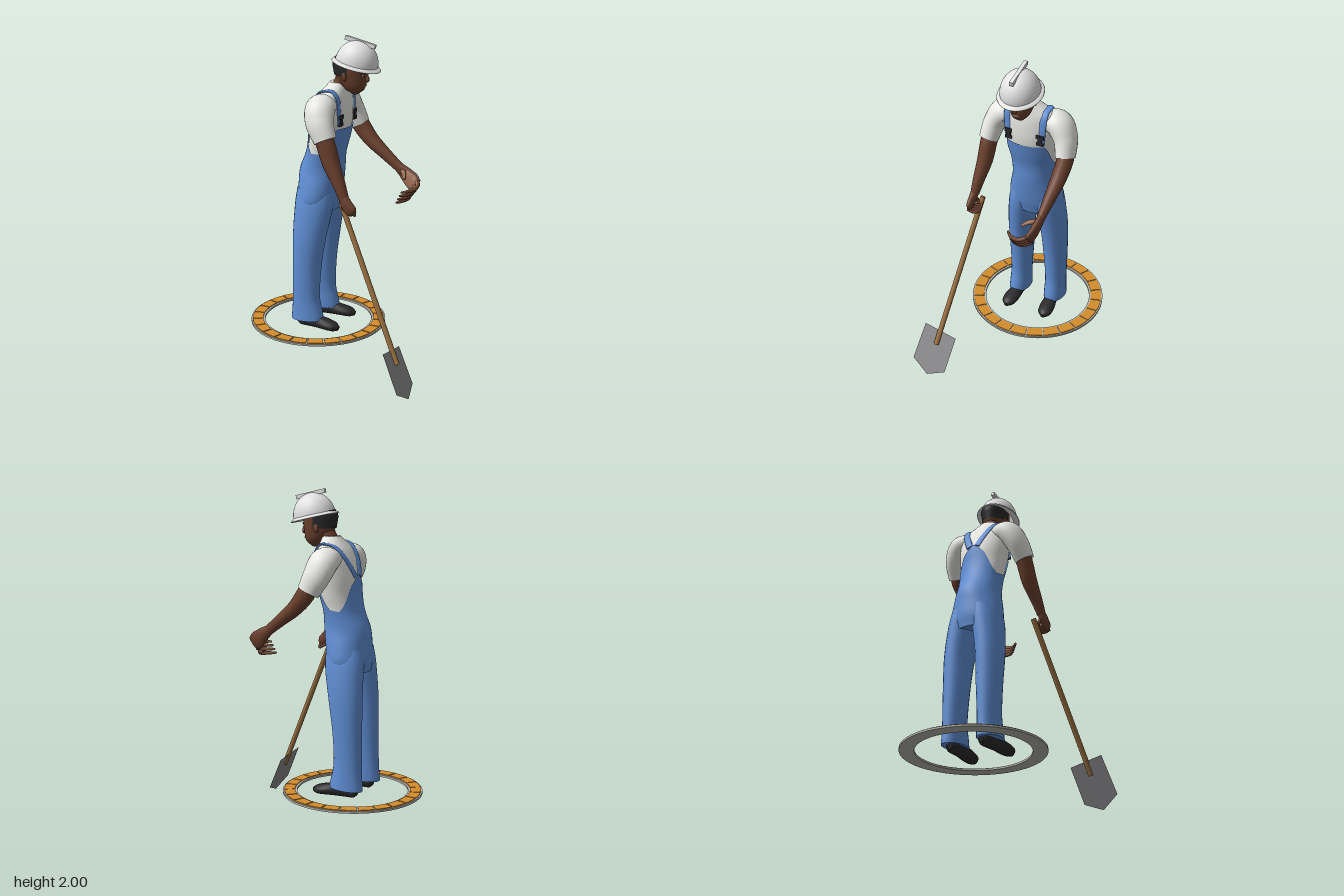
import * as THREE from 'three';

const V = (x, y, z) => new THREE.Vector3(x, y, z);
const mat = (name, color, both) => {
  const m = new THREE.MeshStandardMaterial({ color });
  m.name = name;
  if (both) m.side = THREE.DoubleSide;
  return m;
};
const CZ = -0.042; // middle of the figure in z; it faces +x
const X = V(1, 0, 0), Y = V(0, 1, 0), Z = V(0, 0, 1);

// Smooth skin over a grid of points; point(u, row) with u in 0..1
function skinGrid(point, nu, rows, closed = true) {
  const pos = [], idx = [], w = closed ? nu : nu + 1;
  for (let j = 0; j < rows; j++)
    for (let i = 0; i < w; i++) pos.push(...point(i / nu, j).toArray());
  for (let j = 0; j < rows - 1; j++)
    for (let i = 0; i < nu; i++) {
      const a = j * w + i, b = j * w + (i + 1) % w;
      idx.push(a, b, a + w, b, b + w, a + w);
    }
  const g = new THREE.BufferGeometry();
  g.setAttribute('position', new THREE.Float32BufferAttribute(pos, 3));
  g.setIndex(idx);
  g.computeVertexNormals();
  return g;
}

// Capped tube through [x, y, z, radius along ref, other radius]
function limb(pts, ref = Z, sides = 16, steps = 24) {
  const path = new THREE.CatmullRomCurve3(pts.map(p => V(p[0], p[1], p[2])));
  const rad = new THREE.CatmullRomCurve3(pts.map(p => V(p[3], p[4] ?? p[3], 0)), false, 'catmullrom');
  return skinGrid((u, row) => {
    const j = THREE.MathUtils.clamp(row - 2, 0, steps), t = j / steps;
    const p = path.getPoint(t), r = rad.getPoint(t), T = path.getTangent(t);
    if (row === 0 || row === steps + 4) return p;
    const N = ref.clone().addScaledVector(T, -ref.dot(T)).normalize();
    const B = T.clone().cross(N), a = u * Math.PI * 2;
    return p.addScaledVector(N, r.x * Math.cos(a)).addScaledVector(B, r.y * Math.sin(a));
  }, sides, steps + 5);
}

// Smooth lookup in rows [y, centre x, radius x, radius z]
function sectionAt(rows, y) {
  let i = 0;
  while (i < rows.length - 2 && y > rows[i + 1][0]) i++;
  const a = rows[Math.max(i - 1, 0)], b = rows[i], c = rows[i + 1], d = rows[Math.min(i + 2, rows.length - 1)];
  const t = THREE.MathUtils.clamp((y - b[0]) / (c[0] - b[0]), 0, 1);
  return b.map((_, k) => 0.5 * (2 * b[k] + (c[k] - a[k]) * t + (2 * a[k] - 5 * b[k] + 4 * c[k] - d[k]) * t * t
    + (3 * b[k] - a[k] - 3 * c[k] + d[k]) * t * t * t));
}

// Upright body from sections; the top edge may vary with the angle (0 is the front)
function body(rows, y0, top, grow = 0, a0 = -Math.PI, a1 = Math.PI, nv = 28, capped = true) {
  const closed = a1 - a0 > 6.2;
  return skinGrid((u, row) => {
    const a = a0 + (a1 - a0) * u, v = THREE.MathUtils.clamp(row - 2, 0, nv) / nv;
    const y = y0 + (top(a) - y0) * v, s = sectionAt(rows, y);
    const k = capped && (row === 0 || row === nv + 4) ? 0 : 1;
    return V(s[1] + (s[2] + grow) * Math.cos(a) * k, y, CZ - (s[3] + grow) * Math.sin(a) * k);
  }, 40, nv + 5, closed);
}

const TORSO = [
  [0.95, -0.158, 0.105, 0.14], [1.02, -0.153, 0.119, 0.16], [1.1, -0.145, 0.125, 0.15], [1.2, -0.135, 0.128, 0.13],
  [1.3, -0.112, 0.11, 0.132], [1.4, -0.09, 0.112, 0.148], [1.5, -0.078, 0.118, 0.162], [1.6, -0.065, 0.105, 0.168],
  [1.66, -0.052, 0.085, 0.155], [1.7, -0.04, 0.065, 0.1], [1.73, -0.03, 0.052, 0.056]];
const HEAD = [
  [1.665, 0.075, 0.02, 0.02], [1.69, 0.07, 0.056, 0.045], [1.72, 0.062, 0.076, 0.06], [1.76, 0.05, 0.093, 0.069],
  [1.8, 0.047, 0.1, 0.074], [1.85, 0.045, 0.103, 0.077], [1.9, 0.055, 0.085, 0.065]];

// Height of the overalls' edge by angle from the front
const BIB = [[0, 1.47], [0.85, 1.47], [1.05, 1.4], [1.35, 1.32], [1.9, 1.31], [2.3, 1.36], [2.7, 1.46], [3.15, 1.52]];
function bibTop(a) {
  const s = Math.abs(a), i = Math.max(1, BIB.findIndex(k => k[0] >= s));
  const [p, q] = [BIB[i - 1], BIB[i]];
  return THREE.MathUtils.mapLinear(s, p[0], q[0], p[1], q[1]);
}

// Torso surface at offset o from the middle, in direction phi from the chest
function onTorso(phi, o, lift) {
  let r = 0.3, x, y;
  for (; r > 0; r -= 0.002) {
    x = -0.075 + r * Math.cos(phi); y = 1.5 + r * Math.sin(phi);
    const s = sectionAt(TORSO, y);
    if (y < 1.73 && ((x - s[1]) / s[2]) ** 2 + (o / s[3]) ** 2 < 1) break;
  }
  return [x + lift * Math.cos(phi), y + lift * Math.sin(phi)];
}

export function createModel() {
  const root = new THREE.Group();
  root.name = 'worker';
  const skin = mat('skin', 0x6b402d), palm = mat('palm skin', 0xa06f54), denim = mat('denim', 0x5f8ed4, true);
  const cotton = mat('shirt white', 0xf0f0ec), plastic = mat('helmet white', 0xe2e2e2, true), black = mat('black', 0x29292b, true);
  const wood = mat('wood', 0x9c7242), steel = mat('steel', 0x8a8a8c, true), orange = mat('orange', 0xd48c2c), grey = mat('ring grey', 0xb4b2ac);
  const add = (name, geo, m, parent = root) => {
    const mesh = new THREE.Mesh(geo, m);
    mesh.name = name;
    parent.add(mesh);
    return mesh;
  };
  const ball = (name, m, p, s) => {
    const b = add(name, new THREE.SphereGeometry(1, 16, 12), m);
    b.position.set(...p);
    b.scale.set(...s);
  };

  // Shirt and overalls
  add('shirt', body(TORSO, 1.2, () => 1.73), cotton);
  add('overalls', body(TORSO, 0.95, bibTop, 0.007, -Math.PI, Math.PI, 28, false), denim);
  add('seat', body(TORSO, 0.95, () => 1.1, 0.005), denim);

  for (const s of [1, -1]) {
    const side = s > 0 ? 'right' : 'left', z = o => CZ + s * o;
    add(side + 'TrouserLeg', limb([
      [-0.15, 1.08, z(0.07), 0.075, 0.115], [-0.156, 0.98, z(0.085), 0.085, 0.118], [-0.175, 0.8, z(0.108), 0.08, 0.104],
      [-0.19, 0.6, z(0.114), 0.072, 0.09], [-0.195, 0.4, z(0.118), 0.062, 0.087], [-0.188, 0.3, z(0.119), 0.064, 0.1],
      [-0.186, 0.262, z(0.12), 0.065, 0.104]], Z, 24), denim);
    add(side + 'Shoe', limb([
      [-0.255, 0.243, z(0.107), 0.015, 0.018], [-0.238, 0.247, z(0.108), 0.035, 0.036], [-0.15, 0.253, z(0.114), 0.036, 0.042],
      [-0.06, 0.245, z(0.122), 0.047, 0.034], [-0.005, 0.237, z(0.126), 0.04, 0.027], [0.023, 0.232, z(0.127), 0.014, 0.014]]), black);
    add(side + 'Sleeve', limb([
      [-0.068, 1.61, z(0.09), 0.075, 0.06], [-0.07, 1.6, z(0.17), 0.088, 0.075], [-0.052, 1.53, z(0.22), 0.084, 0.066],
      [-0.005, 1.43, z(0.243), 0.068, 0.056]], X, 24), cotton);

    // Strap over the shoulder with its buckle
    const strap = [];
    for (let i = 0; i <= 14; i++) {
      const t = i / 14, o = t < 0.5 ? 0.1 + 0.03 * t : 0.115 - 0.18 * (t - 0.5);
      const [x, y] = onTorso(-0.1 + t * 3.2, o, 0.005);
      strap.push([x, y, z(o), 0.022, 0.007]);
    }
    add(side + 'Strap', limb(strap, Z, 10, 42), denim);
    const [bx, by] = onTorso(0.2, 0.1, 0.008);
    for (const [dy, h, w] of [[0.022, 0.022, 0.048], [-0.002, 0.03, 0.026], [-0.022, 0.018, 0.042]]) {
      const b = add(side + 'Buckle', new THREE.BoxGeometry(0.014, h, w), black);
      b.position.set(bx + 0.004, by + dy, z(0.098));
    }

    // Face details, mirrored
    ball(side + 'Ear', skin, [0.035, 1.775, z(0.073)], [0.017, 0.028, 0.01]);
    ball(side + 'Eye', cotton, [0.136, 1.779, z(0.03)], [0.005, 0.006, 0.012]);
    ball(side + 'Pupil', black, [0.139, 1.779, z(0.03)], [0.004, 0.005, 0.005]);
    add(side + 'Brow', limb([[0.144, 1.794, z(0.013), 0.004], [0.139, 1.799, z(0.03), 0.005], [0.127, 1.796, z(0.046), 0.003]], Y, 8, 8), black);
  }

  // Head
  add('neck', limb([[-0.04, 1.66, CZ, 0.055], [-0.01, 1.72, CZ, 0.05], [0.03, 1.8, CZ, 0.052]]), skin);
  add('head', body(HEAD, 1.665, () => 1.9), skin);
  add('hair', body(HEAD, 1.775, () => 1.88, 0.006, 1.5, Math.PI * 2 - 1.5, 10, false), black);
  add('nose', limb([[0.141, 1.785, CZ, 0.006], [0.149, 1.765, CZ, 0.01], [0.149, 1.748, CZ, 0.016, 0.011], [0.143, 1.742, CZ, 0.008]], Z, 12, 10), skin);
  ball('lips', palm, [0.133, 1.717, CZ], [0.008, 0.008, 0.024]);

  // Hard hat, tipped forward
  const hat = new THREE.Group();
  hat.name = 'hardHat';
  hat.position.set(0.08, 1.84, -0.045);
  hat.rotation.z = -0.233;
  root.add(hat);
  add('dome', new THREE.SphereGeometry(1, 40, 16, 0, Math.PI * 2, 0, Math.PI / 2), plastic, hat).scale.set(0.127, 0.135, 0.112);
  const brim = [[0.1, 0.004], [0.125, 0.008], [0.145, -0.004], [0.148, -0.01], [0.143, -0.012], [0.1, -0.006], [0.1, 0.004]];
  add('brim', new THREE.LatheGeometry(brim.map(p => new THREE.Vector2(...p)), 48), plastic, hat).scale.z = 0.88;
  add('ridge', new THREE.BoxGeometry(0.19, 0.024, 0.022), plastic, hat).position.set(-0.006, 0.128, 0);

  // Right arm, gripping the handle
  add('rightArm', limb([
    [-0.03, 1.47, 0.195, 0.05], [0.0, 1.4, 0.2, 0.048, 0.056], [0.035, 1.3, 0.207, 0.045, 0.052],
    [0.09, 1.19, 0.222, 0.034, 0.038], [0.125, 1.11, 0.232, 0.025, 0.03]]), skin);
  add('rightHand', limb([
    [0.122, 1.12, 0.232, 0.024, 0.028], [0.145, 1.08, 0.238, 0.022, 0.036], [0.175, 1.045, 0.24, 0.018, 0.036], [0.19, 1.03, 0.238, 0.008, 0.02]]), skin);
  for (let i = 0; i < 4; i++) {
    const dx = i * 0.014, dy = -i * 0.007;
    add('rightFinger', limb([
      [0.15 + dx, 1.055 + dy, 0.247, 0.01], [0.14 + dx, 1.04 + dy, 0.215, 0.011],
      [0.125 + dx, 1.04 + dy, 0.19, 0.01], [0.11 + dx, 1.05 + dy, 0.186, 0.006]], Y, 8, 10), skin);
  }
  add('rightThumb', limb([[0.13, 1.09, 0.23, 0.012], [0.115, 1.06, 0.222, 0.012], [0.12, 1.03, 0.205, 0.008]], X, 8, 10), skin);

  // Left arm, reaching forward with a cupped hand
  add('leftArm', limb([
    [-0.02, 1.47, -0.285, 0.05], [0.015, 1.41, -0.288, 0.048, 0.054], [0.08, 1.335, -0.282, 0.044, 0.046],
    [0.18, 1.255, -0.272, 0.034, 0.036], [0.27, 1.185, -0.265, 0.024, 0.03]]), skin);
  const hand = [[0.26, 1.192, -0.265, 0.024, 0.029], [0.31, 1.155, -0.262, 0.022, 0.042], [0.355, 1.118, -0.252, 0.02, 0.052], [0.385, 1.095, -0.238, 0.012, 0.045]];
  add('leftHand', limb(hand), skin);
  add('leftPalm', limb(hand.slice(1).map(([x, y, z, a, b]) => [x - 0.004, y - 0.002, z + 0.008, a * 0.85, b * 0.88])), palm);
  for (let i = 0; i < 4; i++) {
    const f = [
      [0.39 - i * 0.017, 1.125 - i * 0.024, -0.245, 0.012], [0.411 - i * 0.017, 1.105 - i * 0.024, -0.2, 0.012],
      [0.395 - i * 0.015, 1.09 - i * 0.022, -0.145, 0.011], [0.35 - i * 0.01, 1.085 - i * 0.022, -0.098, 0.007]];
    add('leftFinger', limb(f, Y, 8, 14), skin);
    add('leftFingerInside', limb(f.map(([x, y, z, r]) => [x - 0.005, y, z + 0.003, r * 0.85]), Y, 8, 14), palm);
  }
  add('leftThumb', limb([[0.295, 1.17, -0.25, 0.015], [0.315, 1.168, -0.215, 0.014], [0.335, 1.145, -0.175, 0.008]], Y, 8, 10), palm);

  // Spade
  add('spadeHandle', limb([[0.09, 1.075, 0.196, 0.016], [0.5, 0.19, 0.325, 0.016]], Z, 14, 2), wood);
  const blade = new THREE.BufferGeometry();
  blade.setAttribute('position', new THREE.Float32BufferAttribute([
    0.465, 0.25, 0.207, 0.565, 0.045, 0.237, 0.585, 0, 0.352, 0.553, 0.07, 0.462, 0.45, 0.285, 0.422], 3));
  blade.setIndex([0, 2, 1, 0, 3, 2, 0, 4, 3]);
  blade.computeVertexNormals();
  add('spadeBlade', blade, steel);

  // Ring on the ground with its tiles
  const ring = new THREE.Group();
  ring.name = 'ground ring';
  ring.position.set(-0.172, 0.213, -0.045);
  ring.rotation.x = -Math.PI / 2;
  root.add(ring);
  const sector = (r0, r1, a0, a1) => new THREE.Shape().absarc(0, 0, r1, a0, a1, false).absarc(0, 0, r0, a1, a0, true);
  const base = new THREE.Shape().absarc(0, 0, 0.416, 0, Math.PI * 2, false);
  base.holes.push(new THREE.Path().absarc(0, 0, 0.33, 0, Math.PI * 2, true));
  add('ringBase', new THREE.ExtrudeGeometry(base, { depth: 0.012, bevelEnabled: false, curveSegments: 72 }), grey, ring);
  const step = Math.PI / 12;
  const tile = new THREE.ExtrudeGeometry(sector(0.343, 0.407, 0.011, step - 0.011), { depth: 0.005, bevelEnabled: false, curveSegments: 5 });
  for (let i = 0; i < 24; i++) {
    const t = add('ringTile', tile, orange, ring);
    t.position.z = 0.012;
    t.rotation.z = i * step;
  }
  return root;
}
